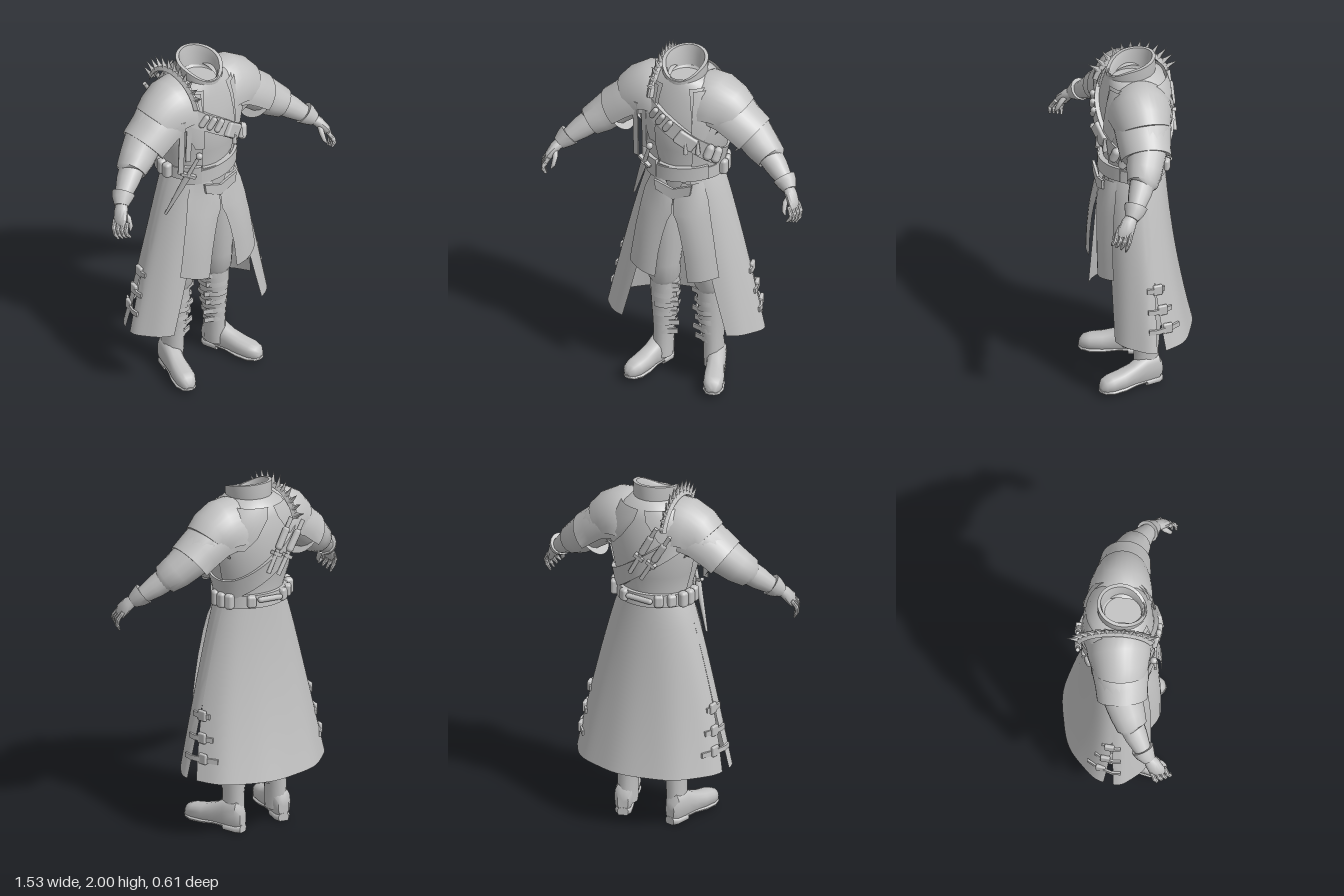
import * as THREE from 'three';
import { toCreasedNormals } from 'three/addons/utils/BufferGeometryUtils.js';
import { RoundedBoxGeometry } from 'three/addons/geometries/RoundedBoxGeometry.js';

const V = (x, y, z) => new THREE.Vector3(x, y, z);
const cloth = new THREE.MeshStandardMaterial({ color: 0xc2c2c2, side: THREE.DoubleSide });
cloth.name = 'plain grey';

function add(parent, name, geo, pos = [0, 0, 0], rot = [0, 0, 0]) {
  const m = new THREE.Mesh(geo, cloth);
  m.name = name;
  m.position.set(...pos);
  m.rotation.set(...rot);
  parent.add(m);
  return m;
}

// Surface through a list of rings (arrays of points)
function loft(rings, closed = true, caps = false) {
  const n = rings[0].length, pos = [], idx = [];
  rings.forEach(r => r.forEach(p => pos.push(p.x, p.y, p.z)));
  for (let i = 0; i < rings.length - 1; i++)
    for (let j = 0; j < (closed ? n : n - 1); j++) {
      const a = i * n + j, b = i * n + (j + 1) % n;
      idx.push(a, b, a + n, b, b + n, a + n);
    }
  if (caps) [0, rings.length - 1].forEach((ri, k) => {
    const c = rings[ri].reduce((s, p) => s.add(p), V(0, 0, 0)).divideScalar(n);
    const ci = pos.length / 3;
    pos.push(c.x, c.y, c.z);
    for (let j = 0; j < n; j++) {
      const a = ri * n + j, b = ri * n + (j + 1) % n;
      k ? idx.push(a, b, ci) : idx.push(b, a, ci);
    }
  });
  const g = new THREE.BufferGeometry();
  g.setAttribute('position', new THREE.Float32BufferAttribute(pos, 3));
  g.setIndex(idx);
  return toCreasedNormals(g, 0.8);
}

// Tube (or arch, for a partial angle) along points [x, y, z, radius, radius along z]
function sweep(pts, n = 14, a0 = 0, a1 = Math.PI * 2) {
  const full = a1 - a0 > 6.2, c = pts.map(p => V(p[0], p[1], p[2]));
  const rings = pts.map((p, i) => {
    const t = c[Math.min(i + 1, c.length - 1)].clone().sub(c[Math.max(i - 1, 0)]).normalize();
    const u = V(0, 0, 1).cross(t).normalize(), v = t.clone().cross(u);
    return Array.from({ length: full ? n : n + 1 }, (_, j) => {
      const a = a0 + (a1 - a0) * j / n;
      return c[i].clone().addScaledVector(u, Math.cos(a) * p[3]).addScaledVector(v, Math.sin(a) * (p[4] ?? p[3]));
    });
  });
  return loft(rings, full, full);
}

// Torso sections: y, half width, front depth, back depth
const BODY = [[1.04, .13, .08, .11], [1.14, .18, .14, .16], [1.25, .195, .165, .165], [1.38, .195, .165, .155],
  [1.48, .225, .185, .185], [1.6, .25, .195, .2], [1.72, .26, .185, .2], [1.82, .23, .165, .185],
  [1.88, .17, .15, .165], [1.91, .11, .14, .12]];
function onBody(th, y, off = 0) {
  let i = 0;
  while (i < BODY.length - 2 && y > BODY[i + 1][0]) i++;
  const a = BODY[i], b = BODY[i + 1], k = THREE.MathUtils.clamp((y - a[0]) / (b[0] - a[0]), 0, 1);
  const f = j => a[j] + (b[j] - a[j]) * k + off;
  return V(f(1) * Math.sin(th), y, f(Math.cos(th) > 0 ? 2 : 3) * Math.cos(th));
}
// Band of rectangular section lying on the torso
function band(yAt, w, off, t0 = -Math.PI, t1 = Math.PI, n = 40) {
  const rings = [];
  for (let i = 0; i <= n; i++) {
    const th = t0 + (t1 - t0) * i / n, y = yAt(th);
    rings.push([[-w, -.01], [w, -.01], [w, off], [-w, off]].map(([d, o]) => onBody(th, y + d, o)));
  }
  return loft(rings, true, true);
}
// Cloth patch on the torso: rows of [y, from angle, to angle]
const patch = (rows, off, n = 10) => loft(rows.map(([y, a, b]) =>
  Array.from({ length: n + 1 }, (_, j) => onBody(a + (b - a) * j / n, y, off))), false);
function onBodyPart(parent, name, geo, th, y, off, tilt = 0) {
  const m = add(parent, name, geo, onBody(th, y, off).toArray());
  m.rotation.set(0, th, tilt, 'YXZ');
}
const barrel = (r, h) => new THREE.CapsuleGeometry(r, h, 3, 10);

// Coat skirt outline at height fraction t (0 waist, 1 hem) and angle th from the front
function skirtPoint(th, t) {
  const rx = .2 + .25 * Math.pow(t, .85), c = Math.cos(th);
  const rz = c > 0 ? .18 + .06 * t : .17 + .05 * t + .09 * t * t;
  const fold = 1 + .012 * t * Math.sin(th * 9);
  return V(rx * Math.sin(th) * fold, 1.32 - (.96 + .02 * -c) * t, rz * c * fold);
}
function skirtPanel(from, to, n = 24) {
  return loft(Array.from({ length: 15 }, (_, i) => {
    const t = i / 14, a = from(t), b = to(t);
    return Array.from({ length: n + 1 }, (_, j) => skirtPoint(a + (b - a) * j / n, t));
  }), false);
}

function buildSide(g) {
  // Shoulder dome and the flared capelet below it
  add(g, 'shoulderDome', sweep([[.07, 1.7, 0, .19, .16], [.14, 1.7, 0, .21, .18], [.2, 1.7, .005, .205, .172],
    [.245, 1.685, .01, .182, .158], [.268, 1.665, .01, .165, .148], [.26, 1.67, .01, .15, .135]], 18, -1.6, 1.6));
  add(g, 'capelet', sweep([[.17, 1.7, 0, .17, .16], [.26, 1.67, .01, .152, .155], [.33, 1.62, .02, .142, .145],
    [.395, 1.57, .025, .138, .138], [.385, 1.578, .025, .125, .125]], 18, -1.75, 1.75));
  // Arm
  add(g, 'sleeve', sweep([[.2, 1.72, -.01, .13, .13], [.3, 1.68, 0, .12, .125], [.4, 1.6, .025, .108, .108],
    [.47, 1.54, .055, .098, .098], [.53, 1.5, .08, .083, .085], [.535, 1.495, .085, .065, .065]], 16));
  add(g, 'forearm', sweep([[.5, 1.52, .065, .072], [.57, 1.465, .105, .064], [.62, 1.425, .135, .05], [.665, 1.395, .165, .036]]));
  add(g, 'gauntletCuff', sweep([[.635, 1.42, .145, .046], [.628, 1.425, .14, .064], [.65, 1.405, .155, .056], [.675, 1.38, .178, .038]]));
  // Hand
  add(g, 'palm', sweep([[.66, 1.395, .165, .03, .03], [.69, 1.365, .195, .03, .042],
    [.715, 1.325, .22, .025, .046], [.722, 1.3, .23, .014, .038]], 12));
  for (let i = 0; i < 4; i++) {
    const z = .195 + i * .024, x = .738 - i * .009;
    add(g, 'finger', sweep([[x - .01, 1.325, z - .005, .012], [x + .013, 1.285, z + .012, .013],
      [x + .012, 1.25 + i * .006, z + .024, .012], [x - .008, 1.212 + i * .012, z + .028, .006]], 8));
  }
  add(g, 'thumb', sweep([[.685, 1.365, .205, .015], [.672, 1.33, .24, .015], [.675, 1.29, .262, .012], [.685, 1.27, .27, .005]], 8));
  // Open coat front over the vest, lapel and back yoke
  add(g, 'coatFront', patch([1.3, 1.4, 1.5, 1.6, 1.7, 1.8, 1.87].map((y, i) => [y, .42 + .05 * Math.sin(i), 1.8]), .012));
  add(g, 'lapel', patch([[1.86, .5, 1.0], [1.78, .42, 1.0], [1.66, .4, .85], [1.52, .42, .62]], .022));
  add(g, 'backYoke', patch([[1.88, 1.9, 3.05], [1.82, 1.8, 3.0], [1.72, 1.75, 2.75], [1.65, 1.75, 2.45]], .016));
  // Skirt front panel with a side slit, closed by buckled straps
  add(g, 'skirtFront', skirtPanel(t => .42 + .32 * t, t => 1.7 - .14 * Math.max(0, t - .6), 14));
  [.48, .59, .71].forEach((y, i) => {
    const t = (1.32 - y) / .96, len = .17 - i * .03;
    const ring = k => skirtPoint(1.5 + len * 4 * k, t);
    add(g, 'sideStrap', loft([0, .25, .5, .75, 1].map(k => {
      const p = ring(k), o = V(p.x, 0, p.z).normalize().multiplyScalar(.012);
      return [p.clone().add(V(0, .014, 0)), p.clone().add(o).add(V(0, .014, 0)),
        p.clone().add(o).add(V(0, -.014, 0)), p.clone().add(V(0, -.014, 0))];
    }), true, true));
    const b = ring(.6);
    add(g, 'strapBuckle', new RoundedBoxGeometry(.022, .06, .055, 2, .008), [b.x + .006, y, b.z], [0, .15, 0]);
  });
  // Front flap
  add(g, 'frontFlap', loft([[1.29, .05, .15, .18], [1.2, .002, .185, .195], [1.1, .004, .205, .21],
    [1.05, .028, .213, .214], [.97, .05, .228, .22], [.85, .075, .245, .225], [.69, .095, .262, .225]].map(([y, a, b, z], i) =>
    Array.from({ length: 7 }, (_, j) => {
      const k = j / 6;
      return V(a + (b - a) * k, y + (i === 6 ? .045 * k : 0), z + .012 * Math.sin(k * 3.14) - .05 * k * k);
    })), false));
  // Leg
  add(g, 'trouserLeg', sweep([[.09, 1.16, 0, .1, .13], [.1, 1.03, 0, .1, .13], [.115, .85, 0, .1, .115],
    [.13, .68, -.005, .09, .1], [.135, .58, -.015, .088, .095], [.135, .55, -.02, .075, .08]], 18));
  add(g, 'bootShaft', sweep([[.135, .585, -.02, .08, .085], [.137, .48, -.03, .08, .09], [.14, .36, -.035, .07, .085],
    [.145, .22, -.035, .056, .07], [.147, .12, -.035, .055, .072], [.147, .06, -.035, .053, .07]], 16));
  for (let i = 0; i < 6; i++) {
    const y = .53 - i * .06, r = i < 3 ? .086 : .086 - (i - 2) * .009;
    add(g, 'bootStrap', sweep([[.135, y + .015, -.032, r, r + .006], [.137, y - .015, -.032, r, r + .006]], 14, 1.2, 3.6));
    add(g, 'strapEnd', new THREE.BoxGeometry(.085, .028, .01), [.08 + (i % 2) * .012, y, .03 - i * .004], [0, -.35, 0]);
  }
  // Foot, sole and heel
  const foot = new THREE.Group();
  foot.name = 'foot';
  foot.position.set(.142, 0, -.11);
  foot.rotation.y = .29;
  g.add(foot);
  const footRings = (secs) => loft(secs.map(([d, w, y0, y1]) => Array.from({ length: 14 }, (_, j) => {
    const a = j / 14 * Math.PI * 2, c = Math.cos(a), s = Math.sin(a);
    const y = s < 0 ? Math.max(s * 1.6, -1) : s;
    return V(w * Math.sign(c) * Math.pow(Math.abs(c), .7), (y0 + y1) / 2 + y * (y1 - y0) / 2, d);
  })), true, true);
  add(foot, 'bootFoot', footRings([[-.005, .03, .04, .13], [.02, .05, .03, .18], [.1, .053, .03, .18], [.17, .05, .03, .142],
    [.24, .056, .028, .12], [.31, .055, .028, .11], [.35, .042, .03, .098], [.37, .02, .035, .07]]));
  add(foot, 'sole', footRings([[.09, .045, .02, .045], [.16, .047, .022, .045], [.24, .058, .015, .042], [.31, .058, .015, .042],
    [.355, .04, .02, .045], [.374, .018, .028, .045]]));
  add(foot, 'heel', footRings([[-.006, .03, 0, .045], [.02, .047, 0, .045], [.1, .048, .003, .045]]));
  // Belt pouches
  [1.48, 1.74, 2.0].forEach(th => onBodyPart(g, 'beltPouch', new RoundedBoxGeometry(.05, .09, .05, 3, .018), th, 1.345, .03));
}

export function createModel() {
  const model = new THREE.Group();
  model.name = 'longCoatOutfit';
  const all = Array.from({ length: 36 }, (_, i) => i / 36 * Math.PI * 2);
  add(model, 'torso', loft([...BODY.map(b => all.map(a => onBody(a, b[0]))),
    all.map(a => V(.09 * Math.sin(a), 1.86, .02 + .1 * Math.cos(a)))], true, true));
  // Collar, lower at the front
  const collar = [[.115, .13, 1.86, 0], [.122, .135, 1.91, .3], [.125, .135, 1.995, 1], [.105, .118, 1.995, 1],
    [.095, .11, 1.95, .6], [.09, .105, 1.86, 0]];
  add(model, 'collar', loft(collar.map(([rx, rz, y, dip]) => all.map(a => {
    const f = Math.max(0, Math.cos(a));
    return V(rx * Math.sin(a), y - dip * (.05 * (1 + Math.cos(a)) / 2 + .045 * f * f), .015 + rz * Math.cos(a));
  }))));
  for (const s of [1, -1]) {
    const side = new THREE.Group();
    side.name = s > 0 ? 'leftSide' : 'rightSide';
    buildSide(side);
    side.scale.x = s;
    model.add(side);
  }
  add(model, 'skirtBack', skirtPanel(t => 1.7 + .3 * Math.max(0, t - .6), t => Math.PI * 2 - 1.7 - .3 * Math.max(0, t - .6), 40));
  // Belt with front plate and point
  add(model, 'belt', band(() => 1.34, .036, .022));
  add(model, 'beltPlate', band(() => 1.34, .055, .034, -.95, -.5, 8));
  add(model, 'beltFront', band(th => 1.335 + .02 * th, .042, .03, -.5, .9, 12));
  const tip = new THREE.Shape([[-.11, 1.29], [-.1, 1.23], [0, 1.185], [.1, 1.23], [.11, 1.29], [0, 1.25]].map(p => new THREE.Vector2(...p)));
  add(model, 'beltPoint', new THREE.ExtrudeGeometry(tip, { depth: .015, bevelEnabled: false }), [0, 0, .19]);
  [2.6, 3.6, 3.95].forEach(th => onBodyPart(model, 'backPouch', new RoundedBoxGeometry(.05, .07, .04, 3, .015), th, 1.345, .025));
  onBodyPart(model, 'backTube', barrel(.016, .13), 3.1, 1.35, .03, 1.5);
  // Bandolier with pouches, cartridges and vials
  const path = th => 1.59 + .04 * Math.cos(th) - .18 * Math.sin(th);
  add(model, 'bandolier', band(path, .056, .024));
  [-.4, -.24, -.08].forEach(th => onBodyPart(model, 'cartridge', barrel(.017, .05), th, path(th) + .01, .03, -.6));
  onBodyPart(model, 'chestPouch', new RoundedBoxGeometry(.12, .085, .035, 2, .012), .3, path(.3), .025, -.6);
  [.82, 1.05].forEach(th => onBodyPart(model, 'sidePouch', barrel(.026, .045), th, path(th) + .01, .035, -.4));
  [.3, .55].forEach(th => onBodyPart(model, 'vial', new THREE.CylinderGeometry(.006, .015, .08, 8), th, 1.54, .04));
  // Tubes and tools slung on the back
  [-.105, -.03].forEach((x, i) => {
    const g = new THREE.Group();
    g.name = 'backTool';
    g.position.set(x, 1.63 + i * .03, -.222);
    g.rotation.z = .55 - i * .05;
    add(g, 'toolShaft', new THREE.CylinderGeometry(.012, .012, .33, 8));
    add(g, 'toolCase', barrel(.02, .1), [0, .04, 0]);
    add(g, 'toolGuard', new THREE.BoxGeometry(.06, .02, .03), [0, -.05, 0]);
    model.add(g);
  });
  // Spiked crest over the right shoulder
  const crest = (a, r = 0) => V(-.145, 1.735 + (.185 + r) * Math.cos(a), -.02 + (.2 + r) * Math.sin(a));
  add(model, 'crestStrap', loft(Array.from({ length: 17 }, (_, i) => {
    const a = -1.3 + i * .1625;
    return [[-.02, 0], [-.006, .022], [.006, .022], [.02, 0]].map(([x, r]) => crest(a, r).add(V(x, 0, 0)));
  }), false));
  for (let i = 0; i < 12; i++) {
    const a = -1.2 + i * .2;
    add(model, 'crestSpike', new THREE.ConeGeometry(.019, .08, 4), crest(a, .045).toArray(), [a, 0, .08]);
  }
  // Hanging ribbons at the right chest
  [[-.235, 1.56, .032, .34], [-.185, 1.58, .03, .26]].forEach(([x, y, w, h]) =>
    add(model, 'ribbon', new THREE.BoxGeometry(w, h, .008), [x, y, .155], [.05, -.3, 0]));
  // Sheathed dagger at the right hip
  const dagger = new THREE.Group();
  dagger.name = 'dagger';
  dagger.position.set(-.185, 1.36, .15);
  dagger.rotation.set(.12, -.5, -.38);
  add(dagger, 'grip', new THREE.CylinderGeometry(.01, .012, .13, 8), [0, .065, 0]);
  add(dagger, 'pommel', new THREE.SphereGeometry(.02, 10, 8), [0, .14, 0]);
  add(dagger, 'guard', new THREE.BoxGeometry(.09, .018, .022));
  add(dagger, 'sheath', new THREE.CylinderGeometry(.02, .007, .28, 8), [0, -.145, 0]);
  model.add(dagger);
  return model;
}
